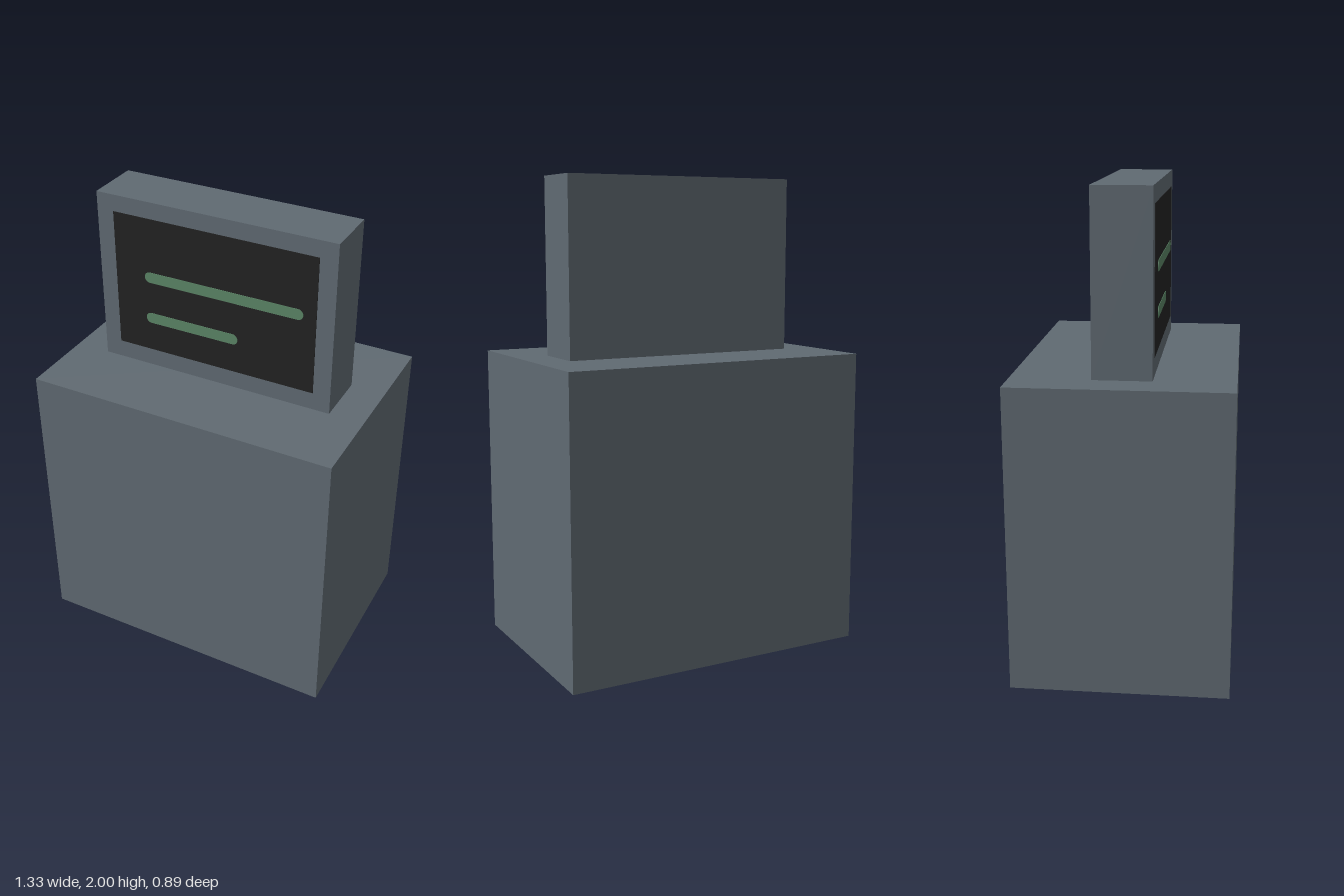
import * as THREE from 'three';

const casing = new THREE.MeshStandardMaterial({ name: 'slate grey', color: 0x606a72 });
const glass = new THREE.MeshStandardMaterial({ name: 'screen black', color: 0x222222 });
const glow = new THREE.MeshStandardMaterial({ name: 'soft green', color: 0x5b8566 });

const FACE_Z = 0.119; // front of the monitor

function box(name, material, w, h, d, y, z = 0) {
  const mesh = new THREE.Mesh(new THREE.BoxGeometry(w, h, d), material);
  mesh.name = name;
  mesh.position.set(0, y, z);
  return mesh;
}

// Round-ended bar lying on the screen
function textBar(name, x0, x1, y) {
  const r = 0.023;
  const shape = new THREE.Shape();
  shape.absarc(x1 - r, 0, r, -Math.PI / 2, Math.PI / 2);
  shape.absarc(x0 + r, 0, r, Math.PI / 2, Math.PI * 1.5);
  shape.closePath();
  const geometry = new THREE.ExtrudeGeometry(shape, { depth: 0.002, bevelEnabled: false, curveSegments: 10 });
  const mesh = new THREE.Mesh(geometry, glow);
  mesh.name = name;
  mesh.position.set(0, y, FACE_Z + 0.002);
  return mesh;
}

export function createModel() {
  const model = new THREE.Group();
  model.name = 'terminal';

  // Cabinet and upright monitor
  model.add(box('cabinet', casing, 1.333, 1.26, 0.889, 0.63));
  model.add(box('monitor', casing, 1.037, 0.74, FACE_Z * 2, 1.63));

  // Screen with two lines
  model.add(box('screen', glass, 0.889, 0.593, 0.002, 1.633, FACE_Z + 0.001));
  model.add(textBar('upperLine', -0.31, 0.39, 1.674));
  model.add(textBar('lowerLine', -0.31, 0.11, 1.488));

  return model;
}
